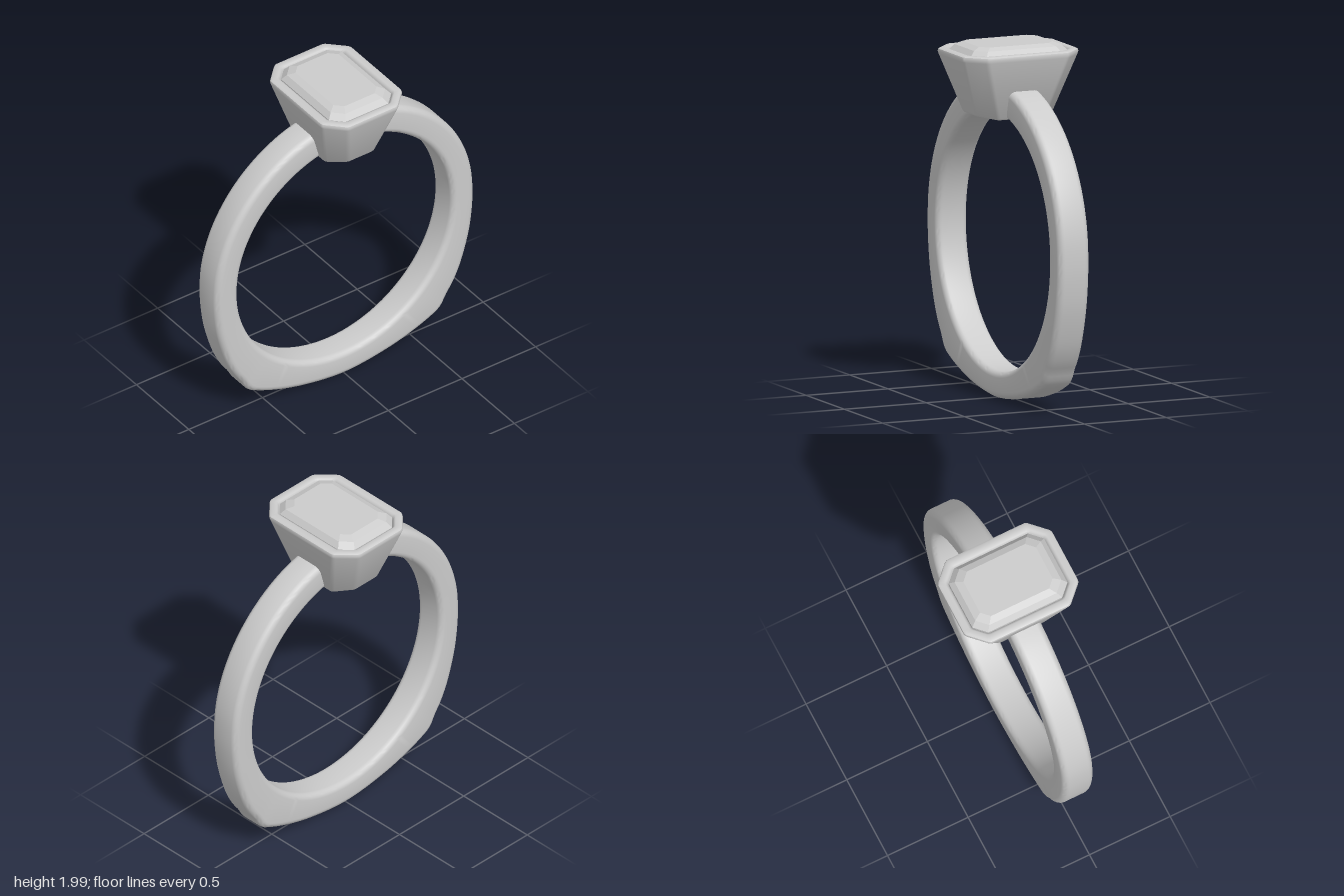
import * as THREE from 'three';
import { toCreasedNormals } from 'three/addons/utils/BufferGeometryUtils.js';

const CENTRE_Y = 0.885, HOLE_R = 0.727;   // finger hole
const HALF_W = 0.095;                     // half width of the band

// Skin a stack of equal-length closed rings, optionally capping both ends.
function loft(rings, caps, crease) {
  const n = rings[0].length, pos = [], index = [];
  rings.forEach(r => r.forEach(p => pos.push(p.x, p.y, p.z)));
  for (let j = 0; j < rings.length - 1; j++) {
    for (let i = 0; i < n; i++) {
      const a = j * n + i, b = j * n + (i + 1) % n, c = a + n, d = b + n;
      index.push(a, c, b, b, c, d);
    }
  }
  if (caps) {
    [0, rings.length - 1].forEach((j, end) => {
      const m = new THREE.Vector3();
      rings[j].forEach(p => m.addScaledVector(p, 1 / n));
      const k = pos.length / 3;
      pos.push(m.x, m.y, m.z);
      for (let i = 0; i < n; i++) {
        const a = j * n + i, b = j * n + (i + 1) % n;
        if (end) index.push(k, b, a); else index.push(k, a, b);
      }
    });
  }
  const g = new THREE.BufferGeometry();
  g.setAttribute('position', new THREE.Float32BufferAttribute(pos, 3));
  g.setIndex(index);
  return toCreasedNormals(g, crease);
}

// Rectangle with cut corners; each corner may be softened by a small curve.
function octagon(hx, hz, cut, soft, yAt) {
  const c = [[hx, hz - cut], [hx - cut, hz], [cut - hx, hz], [-hx, hz - cut],
    [-hx, cut - hz], [cut - hx, -hz], [hx - cut, -hz], [hx, cut - hz]]
    .map(p => new THREE.Vector2(...p));
  const out = [];
  c.forEach((p, i) => {
    if (!soft) { out.push(p); return; }
    const toward = q => p.clone().add(q.clone().sub(p).setLength(soft));
    const bend = new THREE.QuadraticBezierCurve(toward(c[(i + 7) % 8]), p, toward(c[(i + 1) % 8]));
    out.push(...bend.getPoints(4));
  });
  return out.map(p => new THREE.Vector3(p.x, yAt(p.x), p.y));
}

function shankGeometry() {
  // Right half of the outer outline, bottom to top
  const half = [[0.31, 0.042], [0.5, 0.098], [0.6, 0.14], [0.642, 0.163], [0.672, 0.197],
    [0.695, 0.24], [0.74, 0.305], [0.79, 0.405], [0.85, 0.6], [0.874, 0.75]];
  for (let k = 0; k <= 8; k++) {
    const a = k / 8 * 1.38, r = 0.881 + 0.022 * k / 8;
    half.push([r * Math.cos(a), CENTRE_Y + r * Math.sin(a)]);
  }
  const pts = [...half.map(([x, y]) => [-x, y]).reverse(), [0, 0.003], ...half];
  const outline = new THREE.CatmullRomCurve3(pts.map(([x, y]) => new THREE.Vector3(x, y, 0)));

  const rings = outline.getSpacedPoints(180).map(p => {
    const dir = new THREE.Vector3(p.x, p.y - CENTRE_Y, 0);
    const outer = dir.length(), mid = (outer + HOLE_R) / 2, t = (outer - HOLE_R) / 2;
    dir.normalize();
    // Rounded-rectangle section, slightly domed on the outside
    const ring = [], rad = 0.035;
    [[1, 1], [-1, 1], [-1, -1], [1, -1]].forEach(([su, sz], q) => {
      for (let k = 0; k <= 5; k++) {
        const a = (q + k / 5) * Math.PI / 2;
        const u = su * (t - rad) + rad * Math.cos(a);
        const z = sz * (HALF_W - rad) + rad * Math.sin(a);
        const dome = su > 0 ? 0.006 * (z / HALF_W) ** 2 : 0;
        const v = dir.clone().multiplyScalar(mid + u - dome);
        ring.push(new THREE.Vector3(v.x, v.y + CENTRE_Y, z));
      }
    });
    return ring;
  });
  return loft(rings, true, 0.9);
}

function bezelGeometry() {
  // The underside follows the finger hole
  const hole = x => CENTRE_Y + Math.sqrt(HOLE_R ** 2 - x * x);
  const level = y => () => y;
  const rows = [
    [0.095, 0.15, 0.05, hole],
    [0.172, 0.232, 0.09, hole],
    [0.181, 0.241, 0.095, x => hole(x) + 0.012],
    [0.27, 0.35, 0.105, level(1.93)],
    [0.275, 0.355, 0.107, level(1.948)],
    [0.272, 0.352, 0.106, level(1.959)],
    [0.262, 0.342, 0.1, level(1.965)],
    [0.232, 0.315, 0.08, level(1.965)],
    [0.222, 0.306, 0.072, level(1.961)],
    [0.216, 0.3, 0.068, level(1.95)],
    [0.205, 0.29, 0.065, level(1.915)],
  ];
  rows.push(rows[0]);
  return loft(rows.map(([hx, hz, cut, y]) => octagon(hx, hz, cut, 0.016, y)), false, 0.7);
}

function stoneGeometry() {
  // Step-cut rows: keel, pavilion, girdle, crown, table
  const rows = [
    [0.012, 0.09, 0.005, 1.68], [0.08, 0.155, 0.028, 1.75], [0.15, 0.23, 0.05, 1.84],
    [0.211, 0.295, 0.066, 1.93], [0.211, 0.295, 0.066, 1.953],
    [0.185, 0.267, 0.058, 1.984], [0.147, 0.225, 0.045, 2.0],
  ];
  return loft(rows.map(([hx, hz, cut, y]) => octagon(hx, hz, cut, 0, () => y)), true, 0.05);
}

export function createModel() {
  const model = new THREE.Group();
  model.name = 'ring';
  const material = new THREE.MeshStandardMaterial({ color: 0xcccccc });
  const parts = { shank: shankGeometry(), bezel: bezelGeometry(), stone: stoneGeometry() };
  for (const [name, geometry] of Object.entries(parts)) {
    const mesh = new THREE.Mesh(geometry, material);
    mesh.name = name;
    model.add(mesh);
  }
  return model;
}
